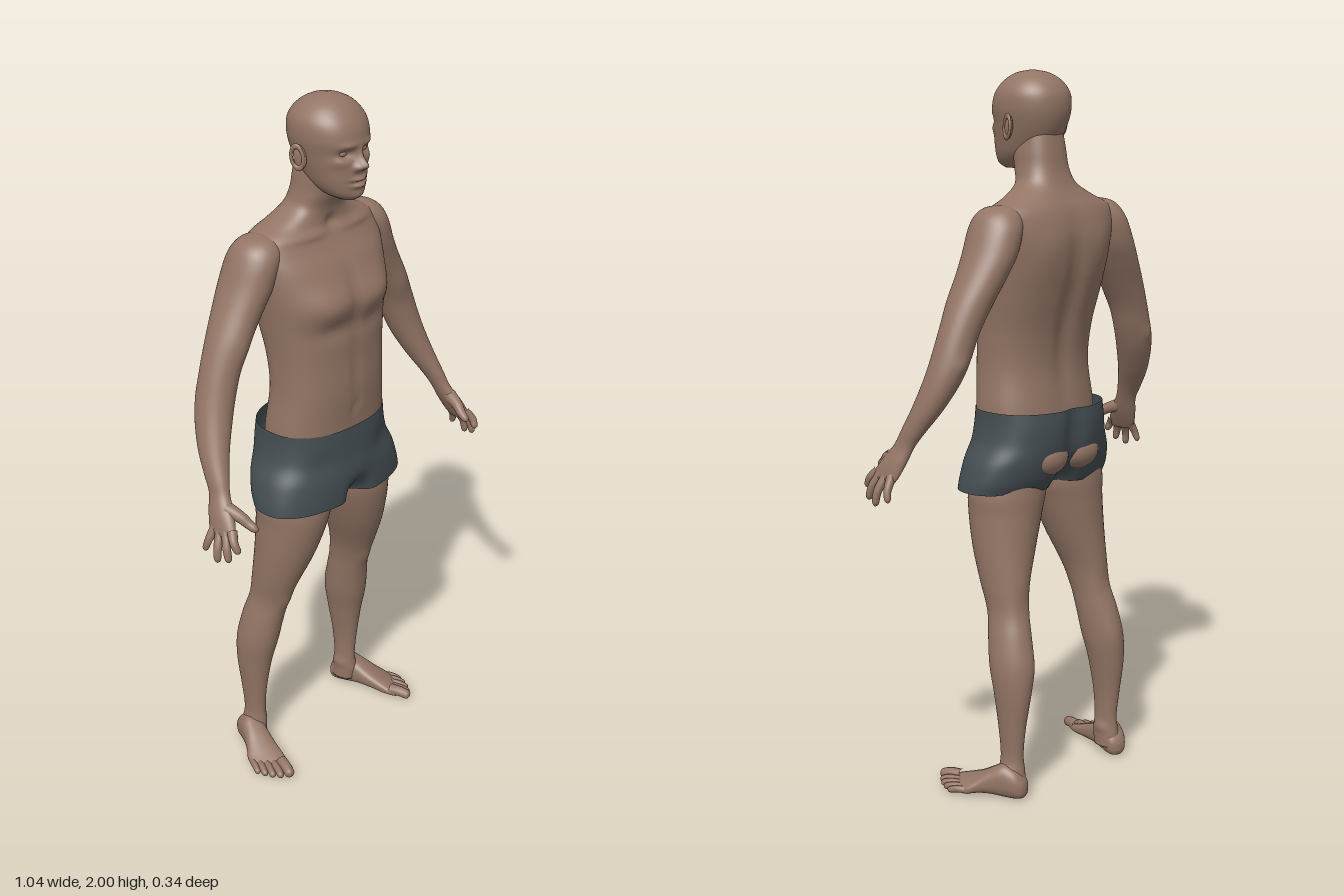
import * as THREE from 'three';

const skin = new THREE.MeshStandardMaterial({ color: 0x937565 });
skin.name = 'skin';
const cloth = new THREE.MeshStandardMaterial({ color: 0x444d51, side: THREE.DoubleSide });
cloth.name = 'shorts cloth';

// Smooth skin over elliptical cross-sections [x, y, z, rx, rz], listed in order of rising y
function loft(rows, { n = 2, around = 48, steps = 6, capped = true } = {}) {
  const pos = [], idx = [], count = (rows.length - 1) * steps + 1;
  const row = i => rows[Math.min(Math.max(i, 0), rows.length - 1)];
  const power = v => Math.sign(v) * Math.abs(v) ** (2 / n);
  for (let k = 0; k < count; k++) {
    const i = Math.floor(k / steps), t = k / steps - i;
    const [x, y, z, rx, rz] = row(i).map((b, c) => {
      const a = row(i - 1)[c], d = row(i + 1)[c], e = row(i + 2)[c];
      return b + 0.5 * t * (d - a + t * (2 * a - 5 * b + 4 * d - e + t * (3 * (b - d) + e - a)));
    });
    for (let j = 0; j < around; j++) {
      const a = j / around * Math.PI * 2;
      pos.push(x + Math.max(rx, 0.001) * power(Math.cos(a)), y, z + Math.max(rz, 0.001) * power(Math.sin(a)));
    }
  }
  for (let k = 0; k < count - 1; k++) for (let j = 0; j < around; j++) {
    const p = k * around + j, q = k * around + (j + 1) % around;
    idx.push(p, p + around, q, q, p + around, q + around);
  }
  if (capped) for (const [r, end] of [[rows[0], 0], [rows[rows.length - 1], count - 1]]) {
    const c = pos.length / 3;
    pos.push(r[0], r[1], r[2]);
    for (let j = 0; j < around; j++) {
      const p = end * around + j, q = end * around + (j + 1) % around;
      if (end) idx.push(c, q, p); else idx.push(c, p, q);
    }
  }
  const g = new THREE.BufferGeometry();
  g.setAttribute('position', new THREE.Float32BufferAttribute(pos, 3));
  g.setIndex(idx);
  g.computeVertexNormals();
  return g;
}

// Rows [y, rx, front z, back z] centred on x = 0
const centred = rows => rows.map(([y, rx, f, b]) => [0, y, (f + b) / 2, rx, (f - b) / 2]);

// Soft pushes: [centre, spread, move], mirrored when off the centre line
function sculpt(g, bumps) {
  const p = g.attributes.position, all = [];
  for (const [c, s, d] of bumps) {
    all.push([c, s, d]);
    if (c[0]) all.push([[-c[0], c[1], c[2]], s, [-d[0], d[1], d[2]]]);
  }
  for (let i = 0; i < p.count; i++) {
    const v = [p.getX(i), p.getY(i), p.getZ(i)], o = [...v];
    for (const [c, s, d] of all) {
      const w = Math.exp(-v.reduce((sum, q, k) => sum + ((q - c[k]) / s[k]) ** 2, 0));
      for (let k = 0; k < 3; k++) o[k] += w * d[k];
    }
    p.setXYZ(i, ...o);
  }
  g.computeVertexNormals();
  return g;
}

// Round-tipped tapered digit along a few points
function digit(points, r0, r1) {
  const curve = new THREE.CatmullRomCurve3(points.map(p => new THREE.Vector3(...p)));
  const len = 20, sides = 14, g = new THREE.TubeGeometry(curve, len, 1, sides), p = g.attributes.position;
  const v = new THREE.Vector3();
  for (let i = 0; i < p.count; i++) {
    const t = Math.floor(i / (sides + 1)) / len, c = curve.getPointAt(t);
    const tip = Math.sqrt(Math.max(0, 1 - Math.max(0, (t - 0.82) / 0.18) ** 2));
    v.fromBufferAttribute(p, i).sub(c).multiplyScalar((r0 + (r1 - r0) * t) * tip + 0.0003).add(c);
    p.setXYZ(i, v.x, v.y, v.z);
  }
  g.computeVertexNormals();
  return g;
}

function mirrored(g) {
  const m = g.clone().scale(-1, 1, 1), a = m.index.array;
  for (let i = 0; i < a.length; i += 3) [a[i], a[i + 1]] = [a[i + 1], a[i]];
  m.computeVertexNormals();
  return m;
}

function ball(x, y, z, rx, ry, rz) {
  return new THREE.SphereGeometry(1, 28, 20).scale(rx, ry, rz).translate(x, y, z);
}

export function createModel() {
  const model = new THREE.Group();
  model.name = 'figure';
  const add = (name, g, mat = skin) => {
    const m = new THREE.Mesh(g, mat);
    m.name = name;
    model.add(m);
  };
  const pair = (name, g) => {
    add(name + 'Left', g);
    add(name + 'Right', mirrored(g));
  };

  // Torso and neck
  const torso = loft(centred([
    [0.86, 0.07, 0.03, -0.05], [0.9, 0.15, 0.06, -0.08], [0.96, 0.18, 0.095, -0.115], [1.02, 0.185, 0.11, -0.13],
    [1.09, 0.187, 0.112, -0.125], [1.2, 0.177, 0.117, -0.112], [1.3, 0.18, 0.113, -0.122], [1.4, 0.193, 0.112, -0.148],
    [1.47, 0.204, 0.11, -0.163], [1.55, 0.217, 0.082, -0.167], [1.6, 0.222, 0.05, -0.16], [1.637, 0.208, 0.028, -0.148],
    [1.667, 0.145, 0.02, -0.13], [1.7, 0.09, 0.022, -0.112], [1.74, 0.073, 0.036, -0.098], [1.79, 0.068, 0.045, -0.09],
    [1.85, 0.06, 0.04, -0.08]]), { n: 2.4, around: 96 });
  add('torso', sculpt(torso, [
    [[0.09, 1.465, 0.11], [0.075, 0.05, 0.08], [0, 0, 0.02]],
    [[0, 1.48, 0.11], [0.018, 0.08, 0.06], [0, 0, -0.008]],
    [[0.08, 1.39, 0.11], [0.07, 0.025, 0.06], [0, 0, -0.008]],
    [[0, 1.25, 0.115], [0.014, 0.12, 0.05], [0, 0, -0.005]],
    [[0, 1.15, 0.115], [0.01, 0.012, 0.05], [0, 0, -0.008]],
    [[0, 1.35, -0.15], [0.03, 0.22, 0.06], [0, 0, 0.018]],
    [[0.1, 1.53, -0.15], [0.06, 0.07, 0.05], [0, 0, -0.009]],
    [[0.09, 1.638, 0.02], [0.07, 0.012, 0.05], [0, 0, 0.008]],
    [[0, 1.655, 0.02], [0.02, 0.02, 0.04], [0, 0, -0.012]]]));

  // Head with face modelled in
  const head = loft(centred([
    [1.737, 0.022, 0.1, 0.03], [1.752, 0.047, 0.115, 0], [1.78, 0.066, 0.12, -0.045], [1.82, 0.079, 0.12, -0.078],
    [1.86, 0.089, 0.117, -0.097], [1.9, 0.097, 0.119, -0.105], [1.94, 0.094, 0.107, -0.1], [1.972, 0.073, 0.08, -0.076],
    [1.992, 0.041, 0.048, -0.042], [2, 0.004, 0.008, -0.002]]), { n: 2.15, around: 120, steps: 10 });
  add('head', sculpt(head, [
    [[0, 1.836, 0.12], [0.012, 0.014, 0.05], [0, 0, 0.027]],
    [[0, 1.858, 0.12], [0.01, 0.022, 0.05], [0, 0, 0.013]],
    [[0.016, 1.83, 0.12], [0.008, 0.009, 0.05], [0, 0, 0.012]],
    [[0.036, 1.866, 0.11], [0.019, 0.012, 0.05], [0, 0, -0.014]],
    [[0.034, 1.887, 0.11], [0.024, 0.009, 0.05], [0, 0, 0.006]],
    [[0, 1.798, 0.12], [0.022, 0.006, 0.05], [0, 0, 0.011]],
    [[0, 1.781, 0.12], [0.019, 0.006, 0.05], [0, 0, 0.011]],
    [[0, 1.79, 0.12], [0.026, 0.003, 0.05], [0, 0, -0.008]],
    [[0, 1.752, 0.11], [0.022, 0.012, 0.05], [0, 0, 0.005]],
    [[0.05, 1.845, 0.09], [0.02, 0.014, 0.04], [0.003, 0, 0.004]]]));
  pair('eyelid', ball(0.036, 1.866, 0.091, 0.015, 0.009, 0.011));

  // Ears
  const ear = ball(0, 0, 0, 0.009, 0.032, 0.018);
  pair('ear', ear.rotateX(-0.15).rotateY(-0.35).translate(0.096, 1.85, 0));
  const rim = new THREE.TorusGeometry(0.017, 0.0045, 10, 28).scale(1, 1.7, 1).rotateY(Math.PI / 2);
  pair('earRim', rim.rotateX(-0.15).rotateY(-0.35).translate(0.104, 1.851, -0.002));

  // Arms, running into the palms
  pair('arm', sculpt(loft([
    [0.485, 0.925, 0.09, 0.008, 0.035], [0.481, 0.945, 0.084, 0.016, 0.047], [0.466, 0.985, 0.066, 0.022, 0.044],
    [0.449, 1.03, 0.042, 0.022, 0.034], [0.437, 1.07, 0.02, 0.028, 0.038], [0.415, 1.13, -0.012, 0.039, 0.046],
    [0.388, 1.2, -0.038, 0.048, 0.053], [0.366, 1.26, -0.05, 0.052, 0.055], [0.34, 1.33, -0.056, 0.054, 0.056],
    [0.305, 1.4, -0.06, 0.06, 0.063], [0.265, 1.47, -0.064, 0.064, 0.073], [0.233, 1.53, -0.065, 0.066, 0.081],
    [0.21, 1.59, -0.062, 0.064, 0.08], [0.197, 1.625, -0.06, 0.058, 0.066], [0.192, 1.645, -0.06, 0.036, 0.042],
    [0.19, 1.652, -0.06, 0.004, 0.004]]), [
    [[0.31, 1.38, 0], [0.04, 0.06, 0.04], [0, 0, 0.006]],
    [[0.375, 1.25, -0.1], [0.02, 0.02, 0.03], [0, 0, -0.006]]]));

  // Fingers and thumb: knuckle, middle joint, tip
  const fingers = [
    [[0.477, 0.955, 0.117], [0.49, 0.932, 0.137], [0.487, 0.905, 0.152]],
    [[0.482, 0.95, 0.1], [0.5, 0.912, 0.119], [0.503, 0.876, 0.13]],
    [[0.484, 0.946, 0.079], [0.506, 0.905, 0.09], [0.511, 0.865, 0.094]],
    [[0.482, 0.95, 0.058], [0.504, 0.912, 0.052], [0.51, 0.882, 0.044]]];
  fingers.forEach((p, i) => pair('finger' + (i + 1), digit(p, 0.0135, 0.009 - (i === 3 ? 0.001 : 0))));
  pair('thumb', digit([[0.457, 1.0, 0.075], [0.445, 0.985, 0.115], [0.436, 0.968, 0.14], [0.431, 0.955, 0.166]], 0.02, 0.01));

  // Legs
  pair('leg', sculpt(loft([
    [0.2, 0.03, -0.112, 0.03, 0.042], [0.2, 0.07, -0.108, 0.03, 0.042], [0.199, 0.12, -0.107, 0.026, 0.037],
    [0.2, 0.2, -0.108, 0.031, 0.044], [0.197, 0.3, -0.107, 0.045, 0.058], [0.191, 0.38, -0.097, 0.055, 0.067],
    [0.181, 0.46, -0.082, 0.054, 0.067], [0.17, 0.53, -0.066, 0.05, 0.067], [0.163, 0.6, -0.046, 0.06, 0.076],
    [0.144, 0.7, -0.024, 0.083, 0.093], [0.126, 0.8, -0.012, 0.102, 0.105], [0.117, 0.87, -0.012, 0.112, 0.105],
    [0.11, 0.97, -0.015, 0.09, 0.09]]), [
    [[0.17, 0.535, 0.005], [0.03, 0.03, 0.03], [0, 0, 0.007]],
    [[0.17, 0.535, -0.13], [0.03, 0.05, 0.03], [0, 0, 0.007]],
    [[0.17, 0.39, -0.16], [0.03, 0.06, 0.03], [0, 0, -0.006]],
    [[0.17, 0.09, -0.105], [0.015, 0.015, 0.03], [-0.006, 0, 0]],
    [[0.228, 0.08, -0.11], [0.015, 0.015, 0.03], [0.006, 0, 0]]]));

  // Feet: [distance from heel, half width, sole height, top height], turned outward
  const place = g => g.rotateY(0.385).translate(0.196, 0, -0.162);
  const foot = loft([
    [0, 0.008, 0.02, 0.04], [0.008, 0.024, 0.006, 0.06], [0.03, 0.034, 0.001, 0.085], [0.065, 0.036, 0.001, 0.098],
    [0.1, 0.038, 0.004, 0.083], [0.14, 0.044, 0.004, 0.06], [0.18, 0.051, 0.001, 0.041], [0.21, 0.049, 0.002, 0.028],
    [0.224, 0.04, 0.007, 0.02]].map(([s, w, lo, hi]) => [0, s, -(lo + hi) / 2, w, (hi - lo) / 2]), { n: 2.4 });
  foot.rotateX(Math.PI / 2);
  const fp = foot.attributes.position;
  for (let i = 0; i < fp.count; i++) {
    const s = fp.getZ(i);
    fp.setZ(i, s - fp.getX(i) * 0.55 * THREE.MathUtils.smoothstep(s, 0.1, 0.21));
  }
  foot.computeVertexNormals();
  pair('foot', place(foot));
  const toes = [[-0.036, 0.282, 0.017], [-0.011, 0.272, 0.012], [0.009, 0.26, 0.0115], [0.027, 0.244, 0.011], [0.043, 0.225, 0.0105]];
  toes.forEach(([u, s, r], i) => pair('toe' + (i + 1), place(digit(
    [[u * 0.92, r + 0.006, s - 0.066], [u, r + 0.006, s - 0.03], [u, r * 0.85, s]], r, r * 0.82))));

  // Shorts with a front and back parting above the legs
  const shorts = loft(centred([
    [0.867, 0.254, 0.13, -0.117], [0.9, 0.25, 0.13, -0.136], [0.95, 0.235, 0.128, -0.154], [1, 0.209, 0.124, -0.165],
    [1.05, 0.198, 0.12, -0.168], [1.09, 0.195, 0.116, -0.163]]), { n: 2.4, around: 96, capped: false });
  add('shorts', sculpt(shorts, [
    [[0, 1.04, -0.17], [0.035, 0.1, 0.08], [0, 0, 0.02]],
    [[0, 0.86, -0.12], [0.035, 0.06, 0.1], [0, 0, 0.08]],
    [[0, 0.855, 0.13], [0.032, 0.05, 0.1], [0, 0, -0.07]],
    [[0, 0.95, 0.125], [0.04, 0.04, 0.05], [0, 0, 0.005]],
    [[0.12, 1, 0.12], [0.05, 0.04, 0.05], [0, 0, -0.008]]]), cloth);

  // Skin showing through the seat of the shorts
  pair('buttock', ball(0.063, 0.957, -0.115, 0.066, 0.05, 0.047));
  return model;
}
